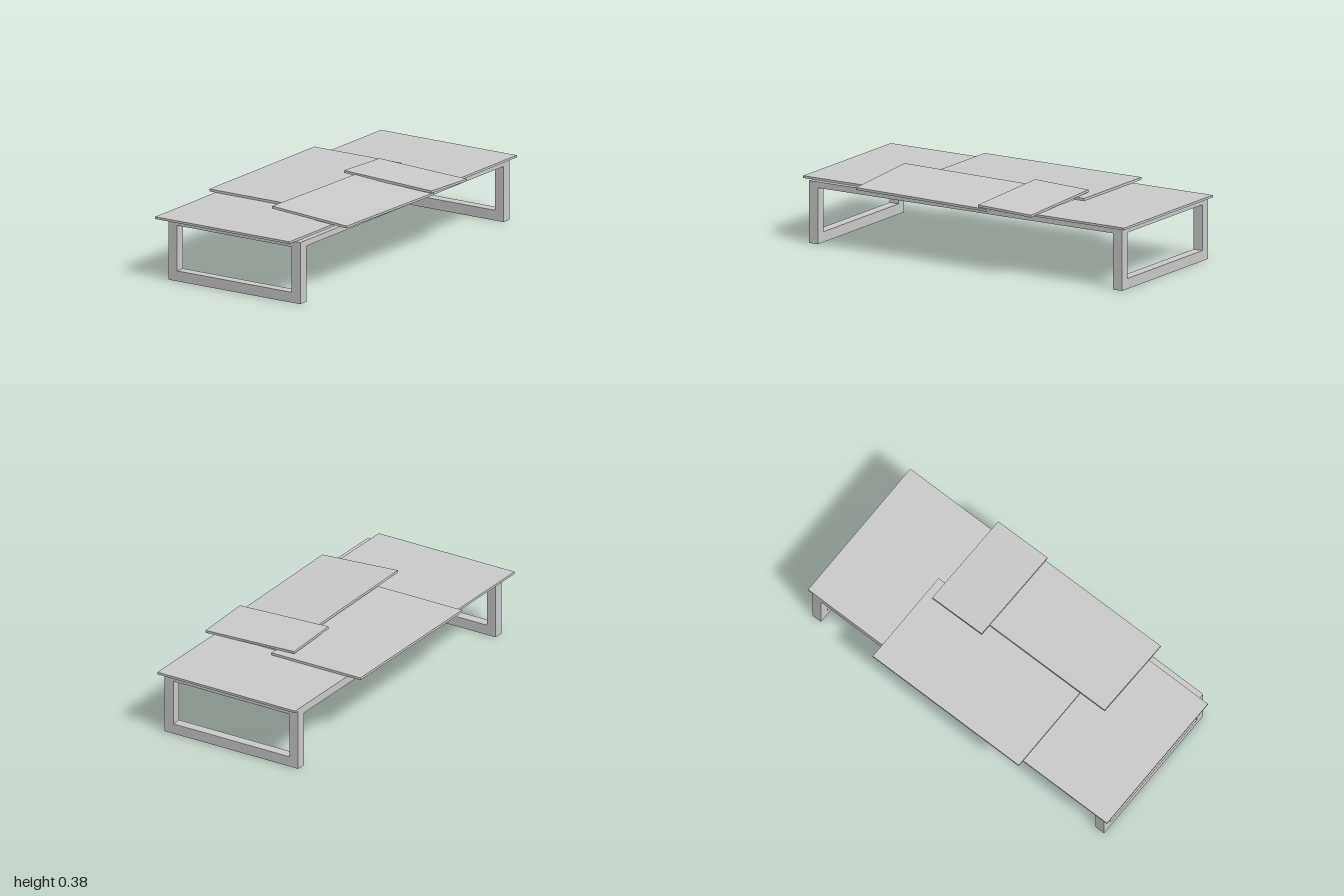
import * as THREE from 'three';

const material = new THREE.MeshStandardMaterial({ color: 0xcccccc, flatShading: true });

// Box given by its extents on each axis, optionally tilted about its centre
function slab(name, [x0, x1], [y0, y1], [z0, z1], tiltX = 0, tiltZ = 0) {
  const mesh = new THREE.Mesh(new THREE.BoxGeometry(x1 - x0, y1 - y0, z1 - z0), material);
  mesh.name = name;
  mesh.position.set((x0 + x1) / 2, (y0 + y1) / 2, (z0 + z1) / 2);
  mesh.rotation.set(tiltX, 0, tiltZ);
  return mesh;
}

function rectangle(path, x0, x1, y0, y1) {
  path.moveTo(x0, y0);
  path.lineTo(x1, y0);
  path.lineTo(x1, y1);
  path.lineTo(x0, y1);
  path.closePath();
  return path;
}

// Rectangular loop leg
function legFrame(name, z) {
  const shape = rectangle(new THREE.Shape(), -0.41, 0.41, 0, 0.33);
  shape.holes.push(rectangle(new THREE.Path(), -0.357, 0.357, 0.055, 0.298));
  const geometry = new THREE.ExtrudeGeometry(shape, { depth: 0.055, bevelEnabled: false });
  const mesh = new THREE.Mesh(geometry, material);
  mesh.name = name;
  mesh.position.z = z;
  return mesh;
}

export function createModel() {
  const model = new THREE.Group();
  model.name = 'layeredCoffeeTable';

  // Base: two loop legs joined by side rails
  model.add(legFrame('frontLeg', 0.89), legFrame('backLeg', -0.97));
  for (const [name, side] of [['leftRail', 1], ['rightRail', -1]]) {
    const rail = slab(name, [-0.0265, 0.0265], [0.298, 0.33], [-0.915, 0.89]);
    rail.position.x = side * 0.3835;
    model.add(rail);
  }

  // Flat boards resting on the base
  model.add(
    slab('frontBoard', [-0.455, 0.38], [0.33, 0.342], [0.42, 1]),
    slab('backBoard', [-0.41, 0.435], [0.33, 0.342], [-1, -0.45]),
    slab('rightBoard', [-0.492, 0.053], [0.342, 0.355], [-0.51, 0.45])
  );

  // Leaning boards stacked on the left side
  model.add(
    slab('longLeaningBoard', [0.01, 0.475], [0.349, 0.362], [-0.185, 0.615], -0.012, -0.07),
    slab('smallLeaningBoard', [-0.056, 0.488], [0.3545, 0.3675], [-0.465, -0.14], -0.037, -0.042)
  );

  return model;
}
